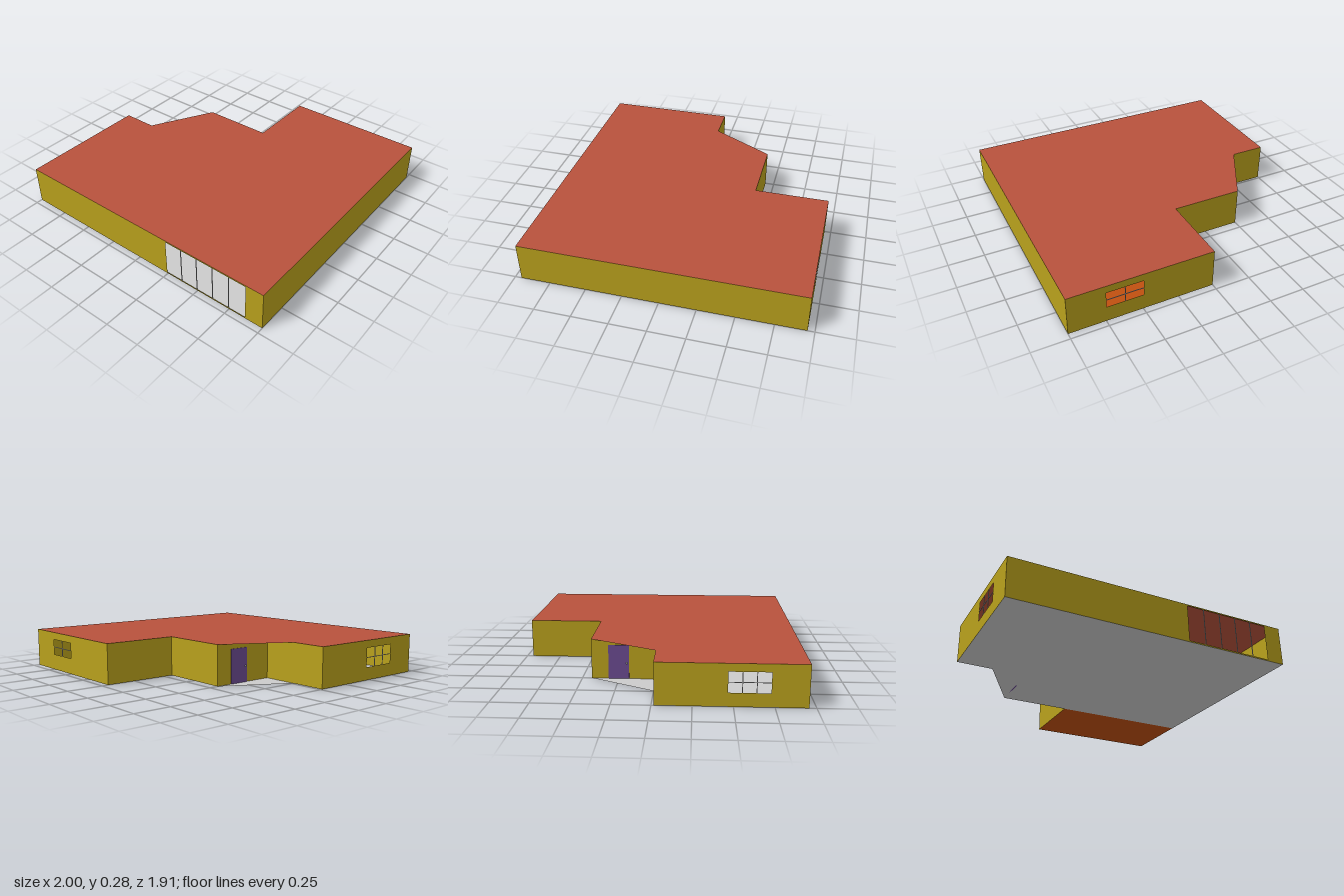
import * as THREE from 'three';

const H = 0.275; // wall height
const paint = (color) => new THREE.MeshStandardMaterial({ color, side: THREE.DoubleSide });
const wallMat = paint(0xb8a01c), roofMat = paint(0xb8523c), floorMat = paint(0xcccccc);
const wingMat = paint(0xc05010), doorMat = paint(0x6a4a90), frameMat = paint(0xcccccc);

// Horizontal sheet from [x, z] corners
function slab(name, points, y, material) {
  const shape = new THREE.Shape(points.map(([x, z]) => new THREE.Vector2(x, -z)));
  const mesh = new THREE.Mesh(new THREE.ShapeGeometry(shape).rotateX(-Math.PI / 2), material);
  mesh.position.y = y;
  mesh.name = name;
  return mesh;
}

// Thin wall from a to b; openings are { u, v, cols, rows } with u measured from a
function wall(name, a, b, openings = []) {
  const dx = b[0] - a[0], dz = b[1] - a[1], length = Math.hypot(dx, dz);
  const group = new THREE.Group();
  group.name = name;
  group.position.set(a[0], 0, a[1]);
  group.rotation.y = Math.atan2(-dz, dx);

  const shape = new THREE.Shape();
  shape.moveTo(0, 0).lineTo(length, 0).lineTo(length, H).lineTo(0, H).closePath();
  for (const { u, v } of openings) {
    const hole = new THREE.Path();
    hole.moveTo(u[0], v[0]).lineTo(u[0], v[1]).lineTo(u[1], v[1]).lineTo(u[1], v[0]).closePath();
    shape.holes.push(hole);
  }
  const sheet = new THREE.Mesh(new THREE.ShapeGeometry(shape), wallMat);
  sheet.name = name + 'Surface';
  group.add(sheet);

  // Glazing bars across each opening
  const bar = (w, h, x, y) => {
    const mesh = new THREE.Mesh(new THREE.BoxGeometry(w, h, 0.004), frameMat);
    mesh.position.set(x, y, 0);
    mesh.name = 'glazingBar';
    group.add(mesh);
  };
  for (const { u, v, cols, rows } of openings) {
    const w = u[1] - u[0], h = v[1] - v[0];
    for (let i = 1; i < cols; i++) bar(0.005, h, u[0] + (w * i) / cols, v[0] + h / 2);
    for (let j = 1; j < rows; j++) bar(w, 0.004, u[0] + w / 2, v[0] + (h * j) / rows);
  }
  return group;
}

export function createModel() {
  const house = new THREE.Group();
  house.name = 'house';

  // Footprint levels
  const back = -0.955, front = 0.955, mid = -0.435, porch = 0.015;

  // Roof covers everything, with a slanted edge over the porch
  house.add(slab('roof', [[-1, front], [1, front], [1, back], [0, back], [0, mid],
    [-0.5, mid], [-0.75, porch], [-1, porch]], H, roofMat));

  // Floors: main rooms with the porch, and the back wing
  house.add(slab('mainFloor', [[-1, front], [1, front], [1, mid], [-0.5, mid],
    [-0.75, porch], [-1, porch]], 0, floorMat));
  house.add(slab('wingFloor', [[0, mid], [1, mid], [1, back], [0, back]], 0, wingMat));

  // Outer walls
  house.add(
    wall('frontWall', [-1, front], [1, front],
      [{ u: [1.245, 1.872], v: [0.01, 0.265], cols: 5, rows: 1 }]),
    wall('leftWall', [1, front], [1, back]),
    wall('wingBackWall', [1, back], [0, back],
      [{ u: [0.255, 0.505], v: [0.112, 0.223], cols: 2, rows: 2 }]),
    wall('wingSideWall', [0, back], [0, mid]),
    wall('middleBackWall', [0, mid], [-0.5, mid]),
    wall('porchSideWall', [-0.5, mid], [-0.5, porch]),
    wall('porchBackWall', [-0.5, porch], [-1, porch]),
    wall('rightWall', [-1, porch], [-1, front],
      [{ u: [0.45, 0.71], v: [0.09, 0.223], cols: 3, rows: 2 }]),
  );

  // Entrance door in the porch
  const door = new THREE.Group();
  door.name = 'entranceDoor';
  door.position.set(-0.5, 0, -0.25);
  const leaf = new THREE.Mesh(new THREE.BoxGeometry(0.008, 0.235, 0.14), doorMat);
  leaf.name = 'doorLeaf';
  leaf.position.y = 0.1175;
  const knob = new THREE.Mesh(new THREE.SphereGeometry(0.006, 12, 8), frameMat);
  knob.name = 'doorKnob';
  knob.position.set(-0.008, 0.11, 0.055);
  door.add(leaf, knob);
  house.add(door);

  return house;
}
